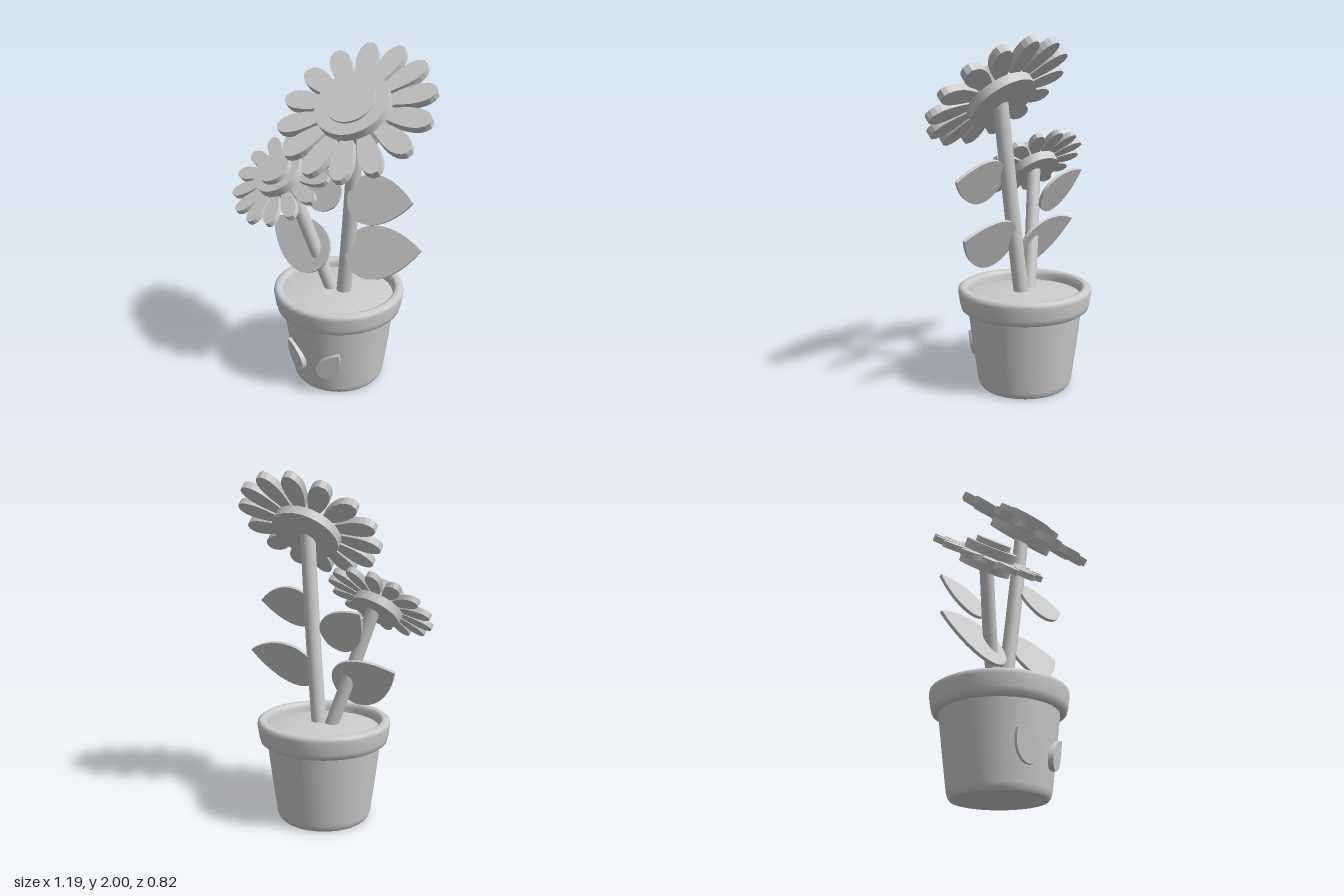
import * as THREE from 'three';

const plain = new THREE.MeshStandardMaterial({ color: 0xcccccc });
plain.name = 'plainGrey';

function add(parent, name, geometry) {
  const mesh = new THREE.Mesh(geometry, plain);
  mesh.name = name;
  parent.add(mesh);
  return mesh;
}

const lathe = (pts) => new THREE.LatheGeometry(pts.map(([r, y]) => new THREE.Vector2(r, y)), 64);

// Almond leaf lying along +x, starting at the origin, widest near its base
function leafGeometry(length, half, depth) {
  const s = new THREE.Shape();
  s.moveTo(0, 0);
  s.bezierCurveTo(length * 0.05, half * 1.35, length * 0.6, half * 1.35, length, 0);
  s.bezierCurveTo(length * 0.6, -half * 1.35, length * 0.05, -half * 1.35, 0, 0);
  const g = new THREE.ExtrudeGeometry(s, { depth, bevelEnabled: false, curveSegments: 16 });
  return g.translate(0, 0, -depth / 2);
}

// Petal pointing outwards in the flower plane, narrow at the base with a rounded tip
function petalGeometry(inner, outer, half, depth) {
  const l = outer - inner;
  const s = new THREE.Shape();
  s.moveTo(-half * 0.5, inner);
  s.lineTo(half * 0.5, inner);
  s.bezierCurveTo(half * 1.1, inner + l * 0.4, half * 1.5, inner + l * 0.85, half * 0.3, outer);
  s.lineTo(-half * 0.3, outer);
  s.bezierCurveTo(-half * 1.5, inner + l * 0.85, -half * 1.1, inner + l * 0.4, -half * 0.5, inner);
  const g = new THREE.ExtrudeGeometry(s, { depth, bevelEnabled: false, curveSegments: 8 });
  return g.translate(0, 0, -depth / 2).rotateX(-Math.PI / 2);
}

function flower(name, center, normal, radius, discRadius, discHalf, eyeRadius, eyeTop, petalHalf) {
  const group = new THREE.Group();
  group.name = name;
  group.position.set(...center);
  group.quaternion.setFromUnitVectors(
    new THREE.Vector3(0, 1, 0), new THREE.Vector3(...normal).normalize());
  const petal = petalGeometry(discRadius * 0.85, radius, petalHalf, radius * 0.1);
  const count = 14;
  for (let i = 0; i < count; i++) {
    add(group, 'petal', petal).rotation.y = ((i + 0.5) * Math.PI * 2) / count;
  }
  add(group, 'flowerDisc', new THREE.CylinderGeometry(discRadius, discRadius, discHalf * 2, 48));
  add(group, 'flowerEye', new THREE.CylinderGeometry(eyeRadius, eyeRadius, eyeTop, 48))
    .position.y = eyeTop / 2;
  return group;
}

function stem(points, radius) {
  const curve = new THREE.CatmullRomCurve3(points.map((p) => new THREE.Vector3(...p)));
  return new THREE.TubeGeometry(curve, 16, radius, 20);
}

export function createModel() {
  const model = new THREE.Group();
  model.name = 'pottedFlowers';

  // Pot with rounded foot, rolled rim and slightly domed soil
  const pot = new THREE.Group();
  pot.name = 'pot';
  pot.position.set(0.005, 0, -0.015);
  model.add(pot);
  add(pot, 'potBase', new THREE.CircleGeometry(0.262, 64)).rotation.x = Math.PI / 2;
  add(pot, 'potBody', lathe([[0.262, 0], [0.273, 0.015], [0.28, 0.04], [0.308, 0.25], [0.336, 0.48]]));
  add(pot, 'potRim', lathe([
    [0.33, 0.46], [0.355, 0.46], [0.372, 0.472], [0.38, 0.5], [0.39, 0.57], [0.387, 0.59],
    [0.372, 0.6], [0.35, 0.6], [0.336, 0.592], [0.33, 0.57], [0.326, 0.52],
  ]));
  add(pot, 'soil', lathe([[0.33, 0.54], [0.25, 0.556], [0.13, 0.569], [0, 0.574]]));

  // Two raised leaves on the front of the pot
  for (const side of [-1, 1]) {
    const holder = new THREE.Group();
    holder.name = side < 0 ? 'rightPotLeaf' : 'leftPotLeaf';
    holder.rotation.y = side * 0.39;
    pot.add(holder);
    const leaf = add(holder, 'potLeaf', leafGeometry(0.205, 0.062, 0.03));
    leaf.position.set(-side * 0.055, 0.135, 0.302);
    leaf.rotation.set(0.1, 0, Math.PI / 2 - side * 0.58);
  }

  // Stems
  add(model, 'tallStem', stem([[0.035, 0.52, -0.018], [0.095, 1.05, 0.008], [0.155, 1.67, 0.04]], 0.044));
  add(model, 'shortStem', stem([[-0.03, 0.52, -0.015], [-0.14, 0.87, 0.045], [-0.25, 1.25, 0.115]], 0.04));

  // Flower heads
  model.add(flower('largeFlower', [0.155, 1.705, 0.06], [0, 0.76, 0.65],
    0.44, 0.205, 0.075, 0.135, 0.088, 0.056));
  model.add(flower('smallFlower', [-0.272, 1.28, 0.147], [-0.15, 0.77, 0.62],
    0.325, 0.148, 0.068, 0.1, 0.1, 0.041));

  // Leaves: base point, length, half width, direction in the leaning leaf plane
  const leaves = [
    ['leftUpperLeaf', [0.115, 1.21, 0.07], 0.395, 0.137, 0.12],
    ['leftLowerLeaf', [0.08, 0.84, 0.03], 0.47, 0.152, 0.27],
    ['rightLowerLeaf', [-0.035, 0.76, 0.068], 0.468, 0.153, Math.PI - 0.42],
    ['rightUpperLeaf', [-0.065, 1.06, -0.07], 0.35, 0.12, Math.PI - 0.7],
  ];
  for (const [name, base, length, half, angle] of leaves) {
    const leaf = add(model, name, leafGeometry(length, half, 0.018));
    leaf.position.set(...base);
    leaf.rotation.set(-0.46, 0, angle);
  }
  return model;
}
